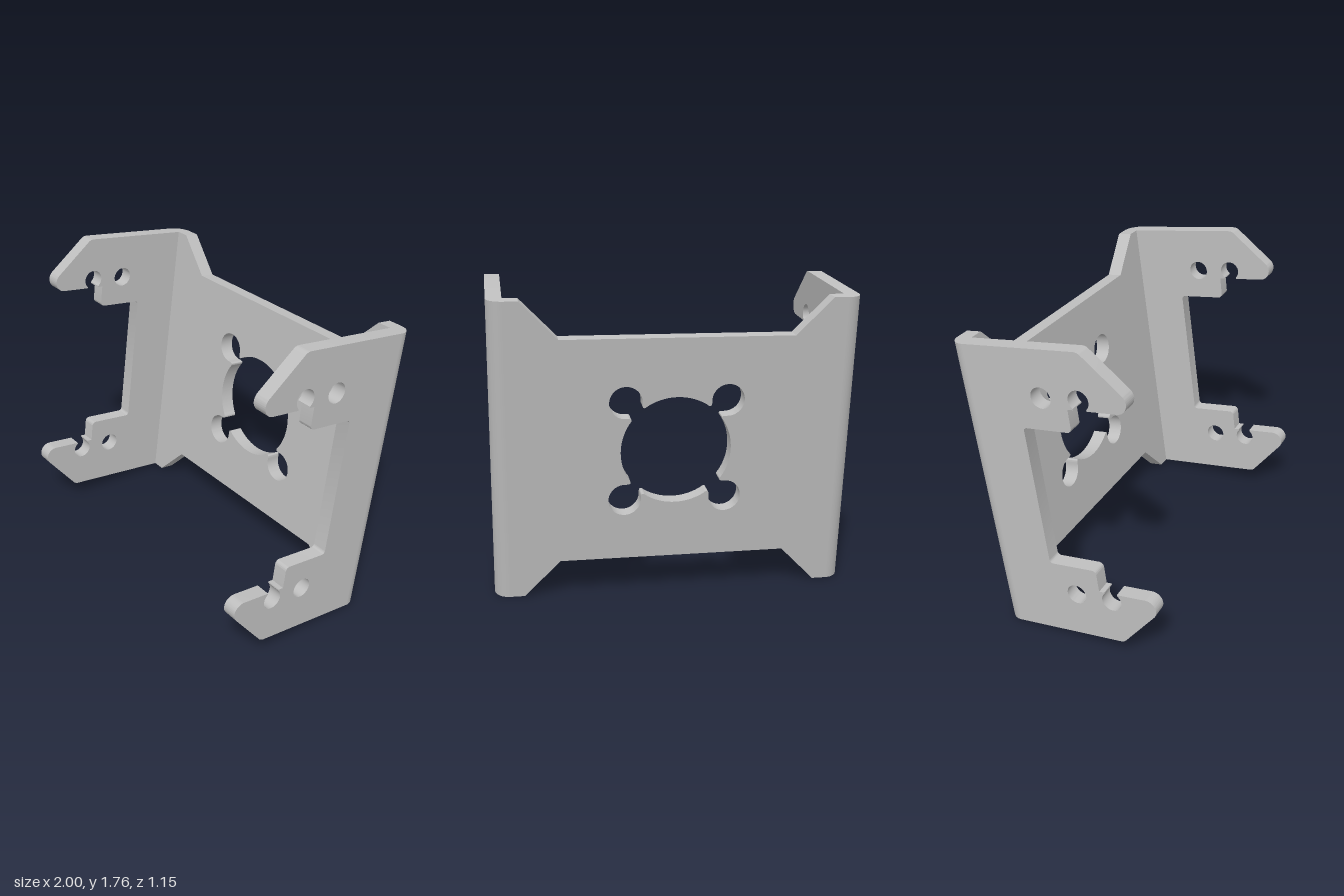
import * as THREE from 'three';
import { toCreasedNormals } from 'three/addons/utils/BufferGeometryUtils.js';

const H = 1.673;      // height along the tilted back plate
const T = 0.085;      // sheet thickness
const TILT = THREE.MathUtils.degToRad(8);
const rad = THREE.MathUtils.degToRad;

// Closed outline from [x, y, cornerRadius] points, starting at a sharp corner
function roundedShape(points) {
  const shape = new THREE.Shape();
  const n = points.length;
  points.forEach(([x, y, r = 0], i) => {
    const p = new THREE.Vector2(x, y);
    if (!r) {
      if (i) shape.lineTo(x, y); else shape.moveTo(x, y);
      return;
    }
    const a = points[(i + n - 1) % n], b = points[(i + 1) % n];
    const d1 = new THREE.Vector2(a[0], a[1]).sub(p).normalize();
    const d2 = new THREE.Vector2(b[0], b[1]).sub(p).normalize();
    const half = Math.acos(d1.dot(d2)) / 2;
    const t = r / Math.tan(half);
    const c = d1.clone().add(d2).normalize().multiplyScalar(r / Math.sin(half)).add(p);
    const s = d1.clone().multiplyScalar(t).add(p);
    const e = d2.clone().multiplyScalar(t).add(p);
    shape.lineTo(s.x, s.y);
    shape.absarc(c.x, c.y, r, s.sub(c).angle(), e.sub(c).angle(), d1.cross(d2) > 0);
  });
  return shape;
}

function extrude(shape, depth) {
  return new THREE.ExtrudeGeometry(shape, { depth, bevelEnabled: false, curveSegments: 20 });
}

// Round opening joined to four corner holes, leaving rounded teeth between
function centreOpening(cy) {
  const path = new THREE.Path();
  const R = 0.305, c = 0.28, r = 0.09, w = c - r;
  const tip = 0.234, neck = 0.268;
  for (let i = 0; i < 4; i++) {
    const q = i * Math.PI / 2;
    const at = (x, y) => [
      x * Math.cos(q) - y * Math.sin(q),
      cy + x * Math.sin(q) + y * Math.cos(q)
    ];
    path.absarc(0, cy, R, q - rad(32), q + rad(32), false);
    path.quadraticCurveTo(...at(tip, w), ...at(neck, w));
    path.absarc(...at(c, c), r, q - Math.PI / 2, q + Math.PI, false);
    path.lineTo(...at(w, neck));
    path.quadraticCurveTo(...at(w, tip), ...at(R * Math.cos(rad(58)), R * Math.sin(rad(58))));
  }
  return path;
}

// Side cheek with two hooked arms, drawn as (forward, up)
function cheekShape() {
  const lower = [[T, 0], [0.741, 0, 0.05], [1.046, 0.305, 0.058], [0.7425, 0.305]];
  for (let i = 0; i <= 24; i++) {                 // open round slot
    const a = rad(49 - 278 * i / 24);
    lower.push([0.705 + 0.057 * Math.cos(a), 0.255 + 0.057 * Math.sin(a)]);
  }
  lower.push([0.6675, 0.305], [0.637, 0.305], [0.637, 0.433, 0.025], [0.358, 0.433, 0.02]);
  const upper = lower.map(([x, y, r]) => [x, H - y, r]).reverse();
  const shape = roundedShape([...lower, ...upper]);
  for (const y of [0.257, H - 0.257]) {
    shape.holes.push(new THREE.Path().absarc(0.493, y, 0.057, 0, Math.PI * 2, true));
  }
  return shape;
}

export function createModel() {
  const metal = new THREE.MeshStandardMaterial({ color: 0xbfbfbf });
  metal.name = 'light grey metal';

  const model = new THREE.Group();
  model.name = 'mountingBracket';
  const body = new THREE.Group();
  body.name = 'tiltedBody';
  body.rotation.x = -TILT;
  body.position.z = -0.342;
  model.add(body);

  const add = (name, geometry) => {
    const mesh = new THREE.Mesh(toCreasedNormals(geometry, 0.6), metal);
    mesh.name = name;
    body.add(mesh);
  };

  // Back plate with trapezoid cut-outs above and below
  const e = 1 - T, n = 0.204;
  const plate = roundedShape([
    [-e, 0], [-0.835, 0], [-0.635, n], [0.635, n], [0.835, 0], [e, 0],
    [e, H], [0.835, H], [0.635, H - n], [-0.635, H - n], [-0.835, H], [-e, H]
  ]);
  plate.holes.push(centreOpening(H / 2));
  add('backPlate', extrude(plate, T));

  // Cheeks and the rounded bends joining them to the plate
  for (const side of [1, -1]) {
    const name = side > 0 ? 'left' : 'right';
    const cheek = extrude(cheekShape(), T);
    cheek.rotateY(-Math.PI / 2).translate(side > 0 ? 1 : -e, 0, 0);
    add(name + 'Cheek', cheek);

    const start = side > 0 ? 0 : Math.PI / 2;
    const sector = new THREE.Shape();
    sector.moveTo(side * e, -T);
    sector.lineTo(side * e + T * Math.cos(start), -T + T * Math.sin(start));
    sector.absarc(side * e, -T, T, start, start + Math.PI / 2, false);
    add(name + 'Bend', extrude(sector, H).rotateX(-Math.PI / 2));
  }
  return model;
}
